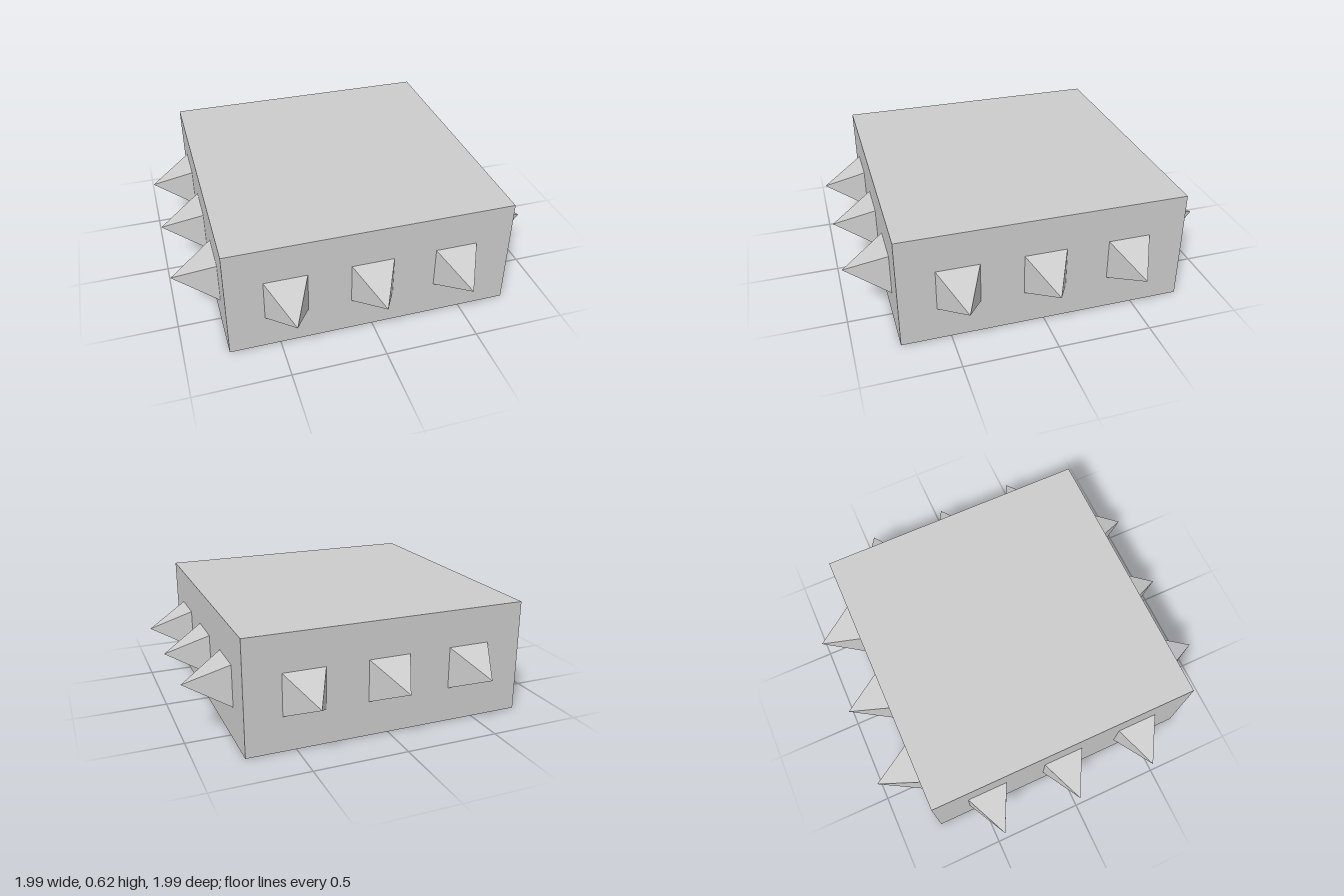
import * as THREE from 'three';

export function createModel() {
  const model = new THREE.Group();
  model.name = 'spikedBlock';
  const material = new THREE.MeshStandardMaterial({ color: 0xcccccc, flatShading: true });

  // Square block
  const block = new THREE.Mesh(new THREE.BoxGeometry(1.53, 0.615, 1.53), material);
  block.name = 'block';
  block.position.set(-0.004, 0.3075, -0.003);
  model.add(block);

  // Four-sided spike pointing to +z, its base set on the block's face
  const baseWidth = 0.23, baseZ = 0.762, tipZ = 0.996;
  const spikeGeometry = new THREE.ConeGeometry(baseWidth / Math.SQRT2, tipZ - baseZ, 4)
    .rotateY(Math.PI / 4)
    .rotateX(Math.PI / 2)
    .translate(0, 0, (baseZ + tipZ) / 2);

  // Three spikes on each of the four sides
  ['front', 'left', 'back', 'right'].forEach((side, i) => {
    const row = new THREE.Group();
    row.name = side + 'Spikes';
    row.rotation.y = i * Math.PI / 2;
    row.position.set(-0.004, 0.301, -0.003);
    for (const x of [-0.457, 0, 0.457]) {
      const spike = new THREE.Mesh(spikeGeometry, material);
      spike.name = 'spike';
      spike.position.x = x;
      row.add(spike);
    }
    model.add(row);
  });

  return model;
}
